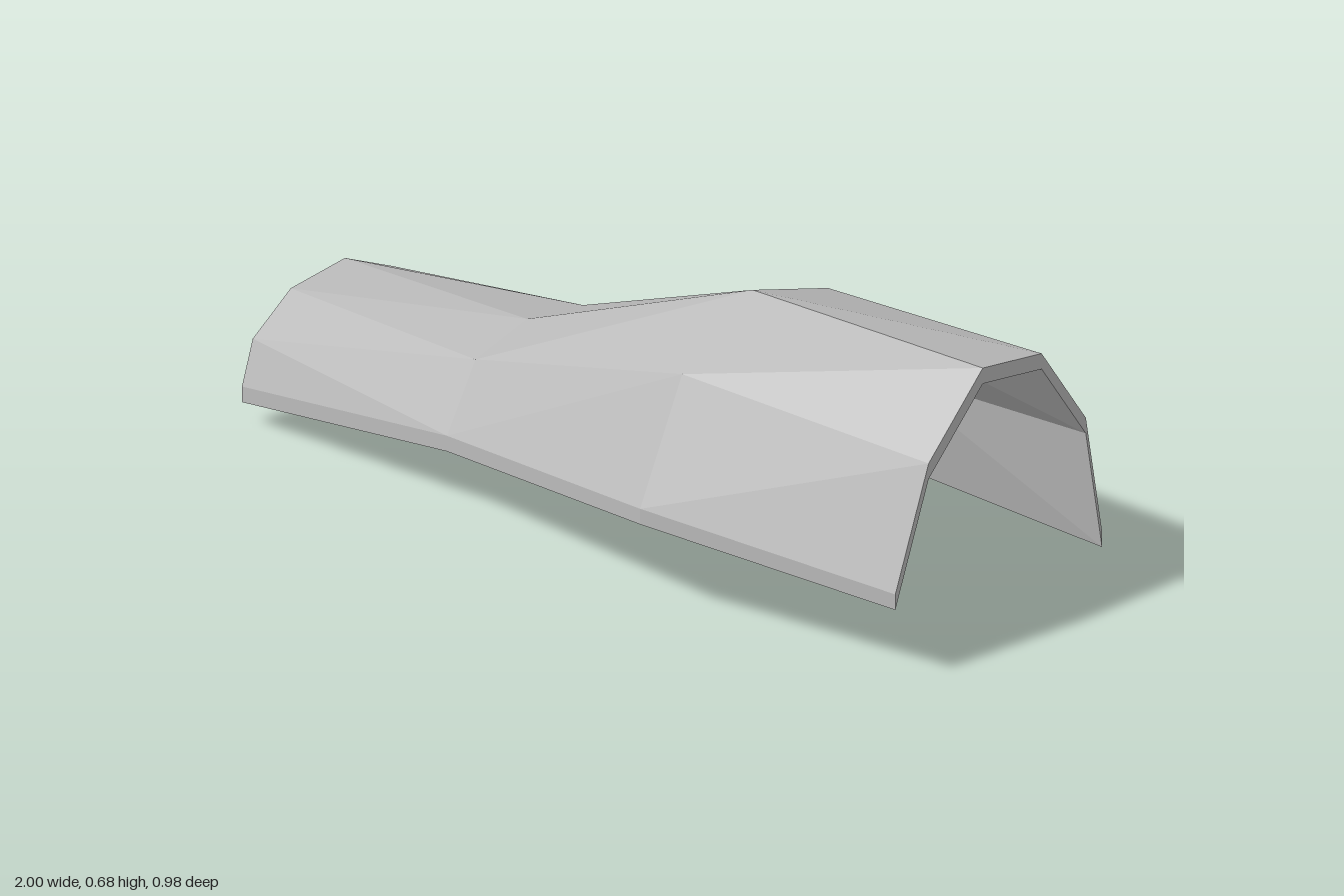
import * as THREE from 'three';
import { ConvexGeometry } from 'three/addons/geometries/ConvexGeometry.js';
import { mergeGeometries } from 'three/addons/utils/BufferGeometryUtils.js';

const THICKNESS = 0.04;

// Arched cross-sections along x; each lists the outer [z, y] points from front rim to back rim
const sections = [
  { x: -1, pts: [[0.28, 0.1], [0.24, 0.207], [0.1, 0.282], [-0.1, 0.282], [-0.268, 0.197], [-0.323, 0.06]] },
  { x: -0.335, pts: [[0.36, 0.21], [0.255, 0.365], [0.065, 0.395], [-0.142, 0.35], [-0.308, 0.245], [-0.367, 0.08]] },
  { x: 0.335, pts: [[0.49, 0.28], [0.335, 0.565], [0.075, 0.68], [-0.203, 0.577], [-0.415, 0.322], [-0.49, 0.042]] },
  { x: 1, pts: [[0.385, 0.225], [0.262, 0.513], [0.062, 0.68], [-0.155, 0.633], [-0.318, 0.405], [-0.378, 0.09]] },
];

// One faceted plate: four outer corners and the same corners dropped by the thickness
function plate(a, b, j) {
  const corners = [];
  for (const s of [a, b]) {
    for (const [z, y] of [s.pts[j], s.pts[j + 1]]) {
      corners.push(new THREE.Vector3(s.x, y, z), new THREE.Vector3(s.x, y - THICKNESS, z));
    }
  }
  return new ConvexGeometry(corners);
}

export function createModel() {
  const grey = new THREE.MeshStandardMaterial({ color: 0xbbbbbb });
  grey.name = 'plainGrey';
  const group = new THREE.Group();
  group.name = 'archedGuard';

  // Each lengthwise bay of the shell is a row of plates from rim to rim
  const names = ['narrowBay', 'middleBay', 'wideBay'];
  names.forEach((name, i) => {
    const plates = [];
    for (let j = 0; j < 5; j++) plates.push(plate(sections[i], sections[i + 1], j));
    const bay = new THREE.Mesh(mergeGeometries(plates), grey);
    bay.name = name;
    group.add(bay);
  });
  return group;
}
